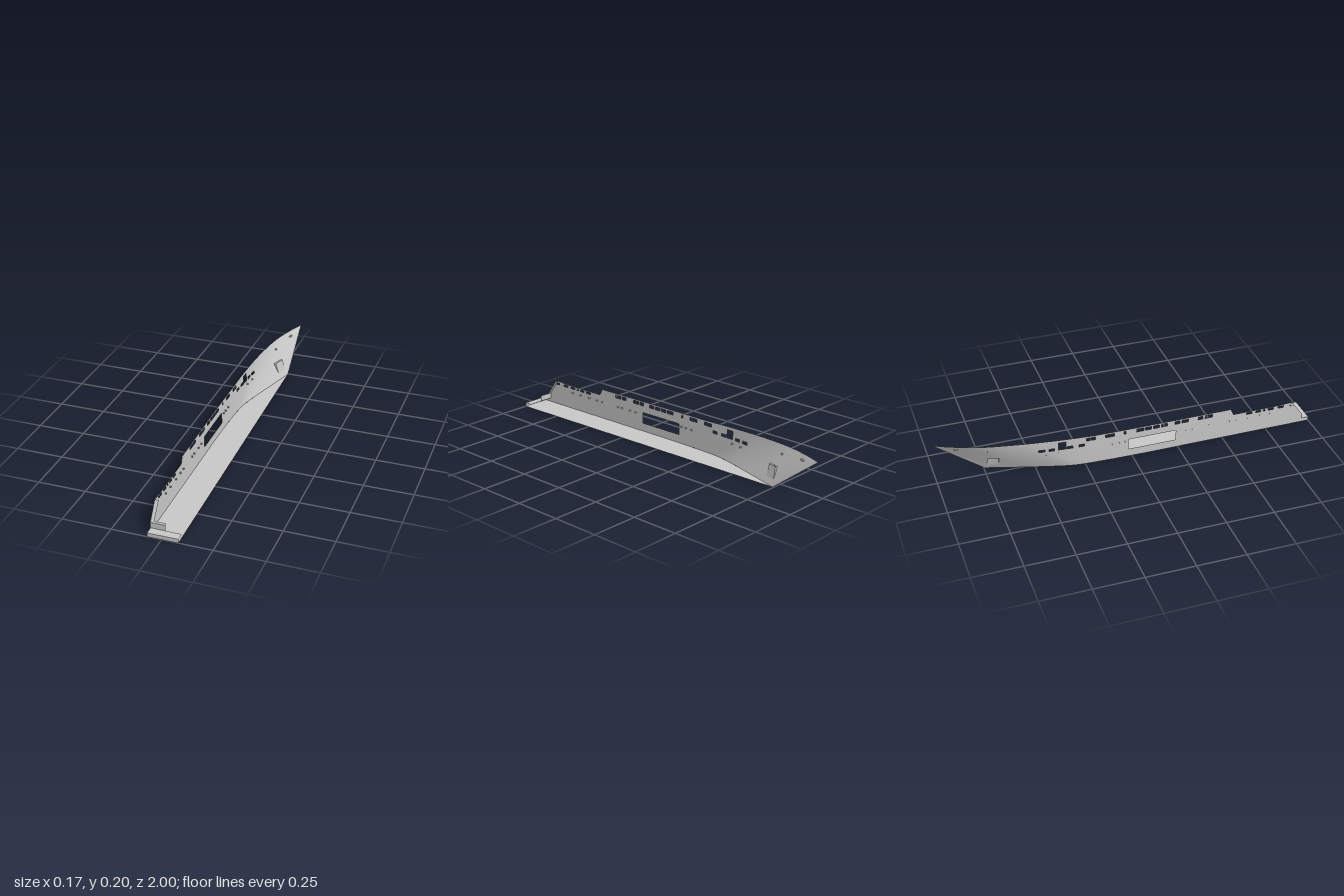
import * as THREE from 'three';

const hullGrey = new THREE.MeshStandardMaterial({ color: 0xc6c6c6, side: THREE.DoubleSide });
hullGrey.name = 'hullGrey';

const HEIGHT = 0.196, STEM = -0.745, RAKE = 0.255;
// plan curves measured aft from the stem: [distance, x]
const deckCurve = [[0, 0.05], [0.09, 0.01], [0.21, -0.03], [0.355, -0.055], [0.5, -0.07], [0.68, -0.08], [1, -0.083], [1.4, -0.078], [2, -0.072]];
const keelCurve = [[0, 0.054], [0.135, 0.013], [0.265, -0.025], [0.415, -0.064], [0.505, -0.074], [0.745, -0.08], [1.15, -0.077], [1.745, -0.071]];
// upper edge of the side: [z, y]
const sheer = [[-1, 0.196], [-0.6, 0.184], [-0.4, 0.176], [-0.2, 0.168], [0.543, 0.166], [0.56, 0.131], [0.83, 0.132], [0.895, 0.137], [0.957, 0.052], [0.96, 0.021], [1, 0.021]];

function linear(pts, t) {
  let i = 0;
  while (i < pts.length - 2 && t > pts[i + 1][0]) i++;
  const [a, b] = [pts[i], pts[i + 1]];
  return a[1] + (b[1] - a[1]) * THREE.MathUtils.clamp((t - a[0]) / (b[0] - a[0]), 0, 1);
}

// cubic curve through the points
function smooth(pts, t) {
  let i = 0;
  const n = pts.length;
  while (i < n - 2 && t > pts[i + 1][0]) i++;
  const slope = k => {
    const a = pts[Math.max(k - 1, 0)], b = pts[Math.min(k + 1, n - 1)];
    return (b[1] - a[1]) / (b[0] - a[0]);
  };
  const h = pts[i + 1][0] - pts[i][0], s = THREE.MathUtils.clamp((t - pts[i][0]) / h, 0, 1);
  const s2 = s * s, s3 = s2 * s;
  return (2 * s3 - 3 * s2 + 1) * pts[i][1] + (s3 - 2 * s2 + s) * h * slope(i)
    + (3 * s2 - 2 * s3) * pts[i + 1][1] + (s3 - s2) * h * slope(i + 1);
}

function hullX(z, y) {
  const t = y / HEIGHT, d = Math.max(0, z - STEM + RAKE * t);
  return THREE.MathUtils.lerp(smooth(keelCurve, d), smooth(deckCurve, d), t);
}
const centreX = z => 0.066 + 0.0165 * z;
const bottomY = z => Math.max(0, (STEM - z) / RAKE * HEIGHT);

// openings as [z0, z1, y0, y1]
const row = (y0, y1, spans) => spans.map(([a, b]) => [a, b, y0, y1]);
const pocket = [-0.735, -0.68, 0.03, 0.088];
const openings = [
  ...row(0.115, 0.125, [[0.885, 0.906], [0.815, 0.848], [0.757, 0.789], [0.73, 0.741], [0.687, 0.714], [0.634, 0.666]]),
  ...row(0.142, 0.158, [[0.4, 0.441], [0.361, 0.388], [0.27, 0.307], [0.233, 0.259], [0.158, 0.19], [0.115, 0.147], [0.072, 0.104],
    [0.024, 0.062], [-0.045, -0.035], [-0.142, -0.094], [-0.217, -0.195], [-0.243, -0.222]]),
  ...row(0.115, 0.158, [[-0.388, -0.35]]),
  ...row(0.114, 0.127, [[-0.281, -0.254], [-0.345, -0.313], [-0.436, -0.409], [-0.489, -0.457]]),
  [-0.02, 0.238, 0.045, 0.104], // boarding opening
  pocket,
];

function mesh(name, geometry) {
  const m = new THREE.Mesh(geometry, hullGrey);
  m.name = name;
  return m;
}

// flat faces from quads of four corner points
function quads(name, list) {
  const pos = list.flatMap(([a, b, c, d]) => [a, b, c, a, c, d].flat());
  const g = new THREE.BufferGeometry();
  g.setAttribute('position', new THREE.Float32BufferAttribute(pos, 3));
  g.computeVertexNormals();
  return mesh(name, g);
}

const sorted = list => [...new Set(list.map(v => +v.toFixed(4)))].sort((a, b) => a - b);

// curved side plating, laid in cells that leave the openings free
function buildSide() {
  const zs = [], ys = [];
  for (let i = 0; i <= 100; i++) zs.push(-1 + i * 0.02);
  for (let i = 0; i <= 14; i++) ys.push(HEIGHT * i / 14);
  sheer.forEach(p => zs.push(p[0]));
  zs.push(STEM);
  openings.forEach(([a, b, c, d]) => { zs.push(a, b); ys.push(c, d); });
  const Z = sorted(zs), Y = sorted(ys), pos = [], nor = [], e = 0.002;
  const corner = (z, y) => {
    const yy = THREE.MathUtils.clamp(y, bottomY(z), Math.max(bottomY(z), linear(sheer, z)));
    return [hullX(z, yy), yy, z];
  };
  const normal = ([, y, z]) => new THREE.Vector3(-1,
    (hullX(z, y + e) - hullX(z, y - e)) / (2 * e),
    (hullX(z + e, y) - hullX(z - e, y)) / (2 * e)).normalize().toArray();
  for (let i = 0; i < Z.length - 1; i++) {
    for (let j = 0; j < Y.length - 1; j++) {
      const zc = (Z[i] + Z[i + 1]) / 2, yc = (Y[j] + Y[j + 1]) / 2;
      if (openings.some(o => zc > o[0] && zc < o[1] && yc > o[2] && yc < o[3])) continue;
      const a = corner(Z[i], Y[j]), b = corner(Z[i + 1], Y[j]);
      const c = corner(Z[i + 1], Y[j + 1]), d = corner(Z[i], Y[j + 1]);
      if (c[1] - b[1] < 1e-6 && d[1] - a[1] < 1e-6) continue;
      for (const p of [a, b, c, a, c, d]) { pos.push(...p); nor.push(...normal(p)); }
    }
  }
  const g = new THREE.BufferGeometry();
  g.setAttribute('position', new THREE.Float32BufferAttribute(pos, 3));
  g.setAttribute('normal', new THREE.Float32BufferAttribute(nor, 3));
  return mesh('hullSide', g);
}

// flat bottom between the side and the centreline
function buildBottom() {
  const list = [], n = 60;
  const z = i => STEM + (1 - STEM) * i / n;
  for (let i = 0; i < n; i++) {
    const a = z(i), b = z(i + 1);
    list.push([[hullX(a, 0), 0, a], [hullX(b, 0), 0, b], [centreX(b), 0, b], [centreX(a), 0, a]]);
  }
  return quads('hullBottom', list);
}

// low platform, partial transom and the sloped edge of the side
function buildStern() {
  const g = new THREE.Group(), L = -0.071, R = centreX(1), y = 0.021;
  g.name = 'stern';
  g.add(quads('sternPlatform', [
    [[L, 0, 1], [R, 0, 1], [R, y, 1], [L, y, 1]],
    [[L, y, 1], [R, y, 1], [R, y, 0.957], [L, y, 0.957]],
  ]));
  g.add(quads('transom', [
    [[L, y, 0.957], [0.003, y, 0.957], [0.003, 0.051, 0.957], [L, 0.051, 0.957]],
    [[L, 0.051, 0.957], [0.003, 0.051, 0.957], [0.003, 0.057, 0.95], [L, 0.057, 0.95]],
  ]));
  g.add(quads('sternEdge', [
    [[L, 0.052, 0.957], [-0.053, 0.052, 0.957], [-0.053, 0.137, 0.895], [L - 0.002, 0.137, 0.895]],
  ]));
  return g;
}

// anchor recess: inner panel leaning inboard, closed at its top and sides
function buildPocket() {
  const [z0, z1, y0, y1] = pocket;
  const at = (z, y, dx = 0, dy = 0) => [hullX(z, y) + dx, y + dy, z];
  const a = at(z0, y0), b = at(z1, y0), c = at(z1, y1), d = at(z0, y1);
  const ci = at(z1, y1, 0.012), di = at(z0, y1, 0.016, 0.006);
  return quads('anchorPocket', [[a, b, ci, di], [d, di, ci, c], [a, di, d, d], [b, c, ci, ci]]);
}

// short pipe through the side plating
function buildPipe(name, z, y, radius, stretch) {
  const m = mesh(name, new THREE.CylinderGeometry(radius, radius, 0.008, 12, 1, true));
  const e = 0.005, slope = (hullX(z + e, y) - hullX(z - e, y)) / (2 * e);
  m.rotation.set(0, Math.atan(slope), Math.PI / 2, 'YXZ');
  m.scale.z = stretch;
  m.position.set(hullX(z, y) + 0.003, y, z);
  return m;
}

export function createModel() {
  const model = new THREE.Group();
  model.name = 'halfHull';
  model.add(buildSide(), buildBottom(), buildStern(), buildPocket());
  model.add(buildPipe('hawsePipe', -0.89, 0.169, 0.005, 2.5));
  model.add(buildPipe('bowPipe', -0.74, 0.148, 0.004, 1));
  [0.77, 0.71, 0.64, 0.58, 0.54, 0.42, 0.39, 0.33, 0.29, -0.04, -0.07, -0.11, -0.39, -0.45]
    .forEach(z => model.add(buildPipe('porthole', z, 0.094, 0.004, 1)));
  return model;
}
